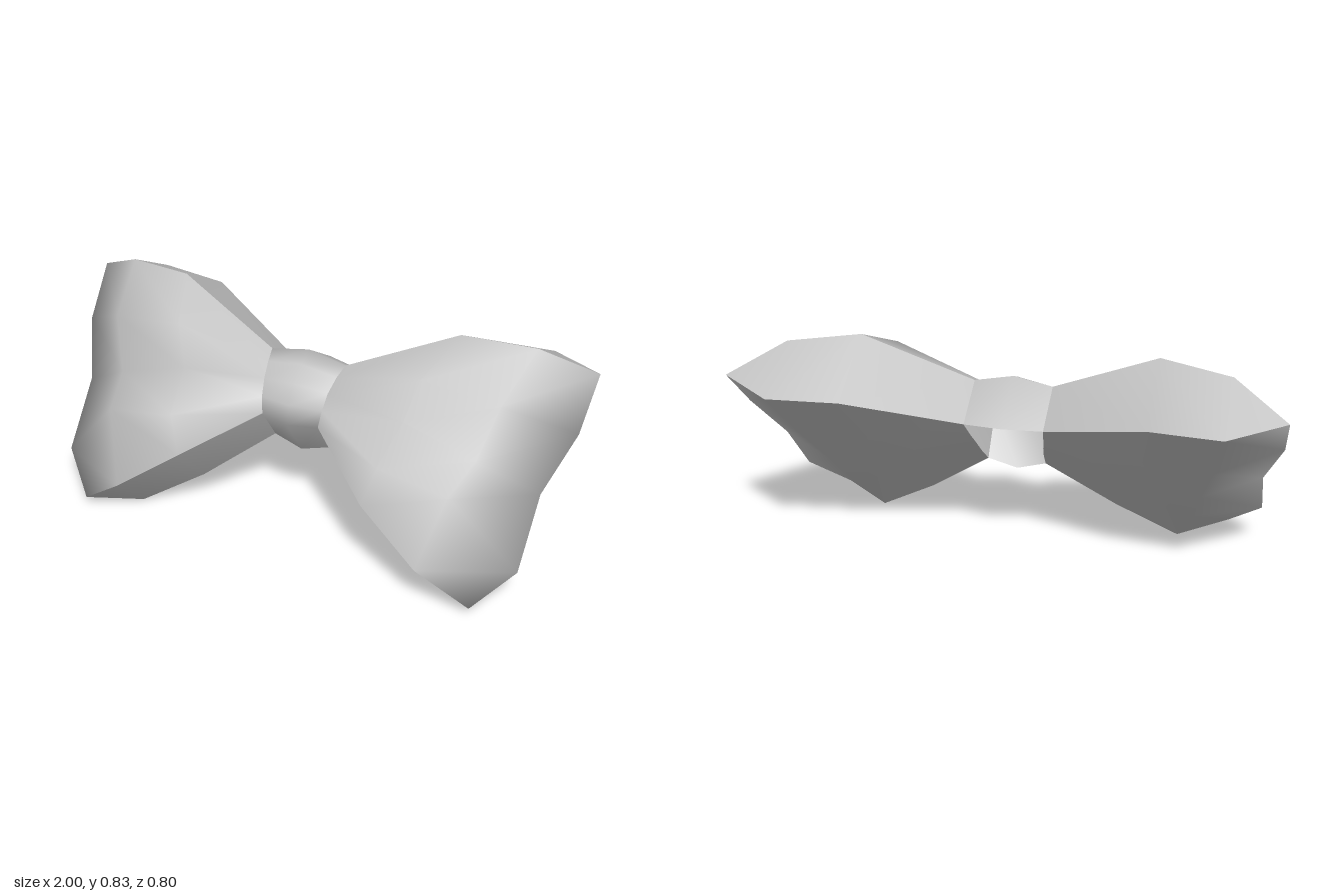
import * as THREE from 'three';

const cloth = new THREE.MeshStandardMaterial({ color: 0xc0c0c0, side: THREE.DoubleSide });
cloth.name = 'grey cloth';

// Smooth surface through a grid of [x, along, depth] points, all rows equally long
function patch(rows, side = 1) {
  const pos = [], index = [], w = rows[0].length;
  rows.forEach((row) => row.forEach(([x, u, n]) => pos.push(x * side, u, n)));
  for (let r = 0; r < rows.length - 1; r++) {
    for (let c = 0; c < w - 1; c++) {
      const a = r * w + c, b = a + 1, d = a + w, e = d + 1;
      if (side > 0) index.push(a, d, b, b, d, e);
      else index.push(a, b, d, b, e, d);
    }
  }
  const g = new THREE.BufferGeometry();
  g.setAttribute('position', new THREE.Float32BufferAttribute(pos, 3));
  g.setIndex(index);
  g.computeVertexNormals();
  return g;
}

function addMesh(parent, name, geometry) {
  const m = new THREE.Mesh(geometry, cloth);
  m.name = name;
  parent.add(m);
}

// Rows run from the top edge to the bottom edge; columns from knot to outer rim
const front = [
  [[0.145, 0.184, 0.275], [0.54, 0.373, 0.329], [0.8, 0.398, 0.266], [1.0, 0.391, 0.113]],
  [[0.135, 0.13, 0.3], [0.47, 0.171, 0.413], [0.75, 0.155, 0.352], [0.985, 0.165, 0.12]],
  [[0.125, 0.064, 0.312], [0.43, 0.027, 0.34], [0.7, -0.035, 0.275], [0.91, -0.069, 0.107]],
  [[0.118, 0.0, 0.3], [0.4, -0.159, 0.392], [0.66, -0.19, 0.35], [0.905, -0.352, 0.102]],
  [[0.11, -0.056, 0.269], [0.36, -0.288, 0.319], [0.59, -0.45, 0.25], [0.775, -0.518, 0.104]],
];
// The back is flatter and meets the front at the rim
const back = [
  [[0.145, 0.213, 0.083], [0.54, 0.437, 0.02], [0.8, 0.461, 0]],
  [[0.135, 0.13, 0.08], [0.47, 0.18, 0.02], [0.75, 0.171, 0]],
  [[0.125, 0.064, 0.08], [0.43, 0.02, 0.02], [0.7, -0.05, 0]],
  [[0.118, 0.0, 0.08], [0.4, -0.14, 0.03], [0.66, -0.25, 0]],
  [[0.11, -0.094, 0.09], [0.36, -0.308, 0.04], [0.59, -0.461, 0]],
];

function makeWing(name, side) {
  const wing = new THREE.Group();
  wing.name = name;
  const tip = (i) => [...back[i], front[i][3]];
  // Front, rounded rim and back are one continuous surface
  addMesh(wing, 'wingBody', patch(front.map((row, i) => [...row, ...[...back[i]].reverse()]), side));
  addMesh(wing, 'wingTopEdge', patch([tip(0), front[0]], side));
  addMesh(wing, 'wingBottomEdge', patch([front[4], tip(4)], side));
  return wing;
}

// Band around the middle, open at the back, fuller at its centre line
function makeKnot() {
  const ends = [back[0][0], ...front.map((row) => row[0]), back[4][0]];
  return patch(ends.map(([x, u, n]) => [
    [-x, u, n],
    [0, 0.06 + (u - 0.06) * 1.19, 0.18 + (n - 0.18) * 1.19],
    [x, u, n],
  ]));
}

export function createModel() {
  const model = new THREE.Group();
  model.name = 'bowTie';
  const bow = new THREE.Group();
  bow.name = 'bow';
  bow.add(makeWing('leftWing', 1), makeWing('rightWing', -1));
  addMesh(bow, 'knot', makeKnot());
  // The whole bow leans back
  bow.rotation.x = -Math.atan2(0.683, 0.73);
  bow.position.set(0, 0.3375, -0.085);
  model.add(bow);
  return model;
}
